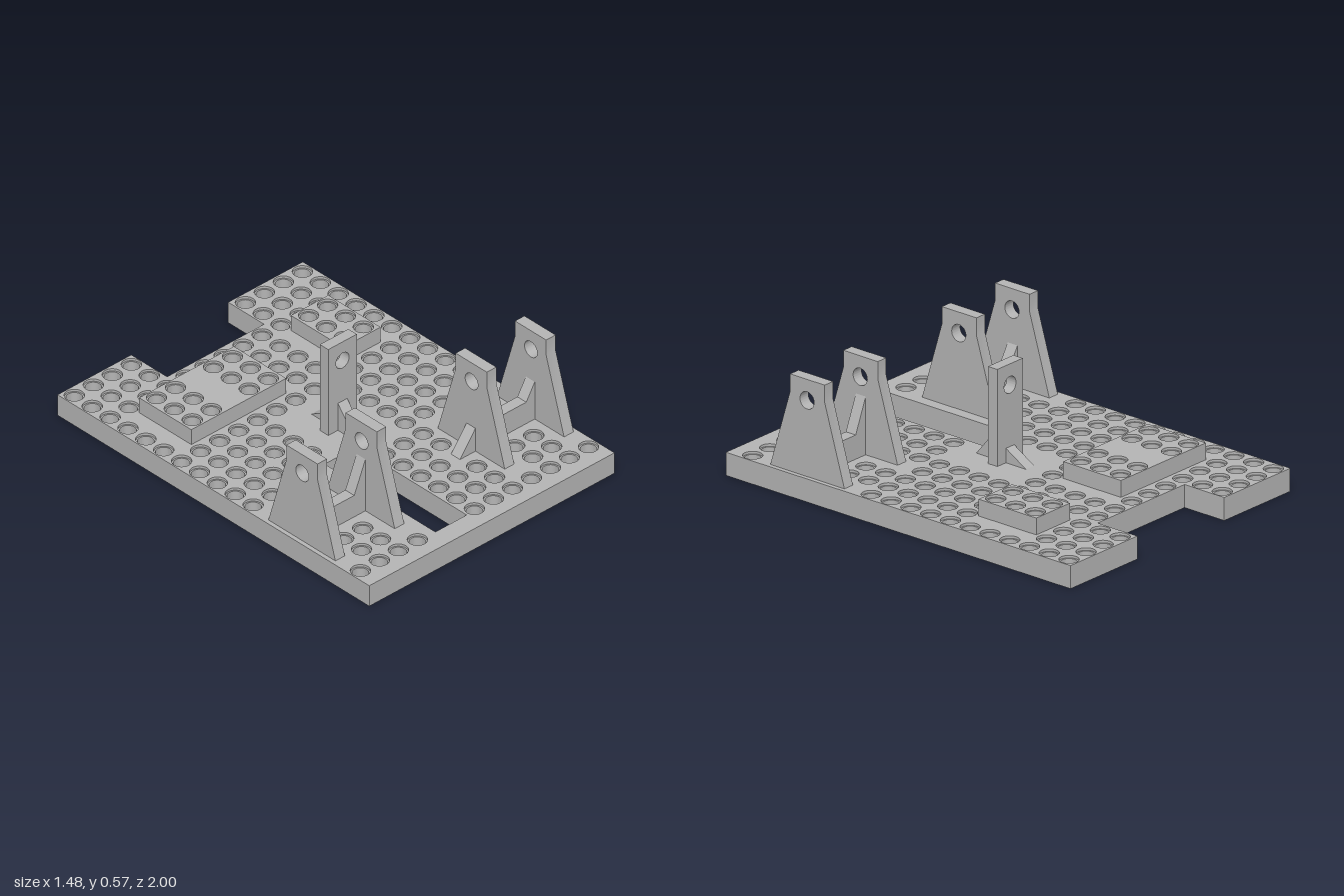
import * as THREE from 'three';
import { mergeGeometries, toCreasedNormals } from 'three/addons/utils/BufferGeometryUtils.js';

const PITCH = 0.1147, THICK = 0.11, PAD_TOP = 0.19;
const R_HOLE = 0.0375, R_BORE = 0.045, BORE_DEPTH = 0.012, SEG = 24;

const range = (a, b) => Array.from({ length: b - a + 1 }, (_, i) => a + i);
const polygon = pts => new THREE.Shape(pts.map(p => new THREE.Vector2(p[0], p[1])));
const rect = (x0, x1, y0, y1) => [[x0, y0], [x1, y0], [x1, y1], [x0, y1]];

function punch(shape, x, y, r) {
  const hole = new THREE.Path();
  hole.absarc(x, y, r, 0, Math.PI * 2, true);
  shape.holes.push(hole);
}

function extrude(shape, depth) {
  const g = new THREE.ExtrudeGeometry(shape, { depth, bevelEnabled: false, curveSegments: SEG });
  return toCreasedNormals(g, 0.5);
}

// Hole columns for each row, in multiples of the pitch
function holeGrid() {
  const all = range(-6, 6);
  const corners = [...range(-6, -3), ...range(3, 6)];
  const padRow = [-6, -4.5, -3.5, -1.5, -0.5, 1, 2, 3.5, 4.5, 6];
  const postRow = [...range(-6, -2), ...range(2, 6)];
  const bracketRow = [-5, -4, 0, 1, 2, 4, 5];
  const rows = [
    corners, corners, all, padRow, padRow, padRow, all, postRow, postRow, postRow,
    [...range(-6, -3), ...range(2, 6)], bracketRow, bracketRow, [0, 1],
    bracketRow, bracketRow, [...range(-6, -3), ...range(0, 6)],
  ];
  return rows.flatMap((cols, k) => cols.map(c => ({ x: c * PITCH, z: -0.947 + k * PITCH })));
}

export function createModel() {
  const model = new THREE.Group();
  model.name = 'perforatedMountingPlate';
  const grey = new THREE.MeshStandardMaterial({ color: 0xb4b4b4 });
  grey.name = 'grey';
  const add = (name, geometry) => {
    const mesh = new THREE.Mesh(geometry, grey);
    mesh.name = name;
    model.add(mesh);
    return mesh;
  };

  const holes = holeGrid();
  const pads = [
    { name: 'widePad', x0: -0.572, x1: 0, z0: -0.655, z1: -0.32 },
    { name: 'narrowPad', x0: 0.344, x1: 0.57, z0: -0.655, z1: -0.32 },
  ];
  const inside = (p, h) => h.x > p.x0 && h.x < p.x1 && h.z > p.z0 && h.z < p.z1;

  // Base plate with rear notch, long slot and hole grid (shape y is -z)
  const plate = polygon([[-0.74, -1], [0.74, -1], [0.74, 1], [0.29, 1], [0.29, 0.77],
    [-0.295, 0.77], [-0.295, 1], [-0.74, 1]]);
  plate.holes.push(polygon(rect(-0.247, -0.058, -0.9, -0.19)));
  holes.forEach(h => punch(plate, h.x, -h.z, R_BORE));
  add('basePlate', extrude(plate, THICK).rotateX(-Math.PI / 2));

  // Raised pads continue the holes upward
  for (const p of pads) {
    const shape = polygon(rect(p.x0, p.x1, -p.z1, -p.z0));
    holes.filter(h => inside(p, h)).forEach(h => punch(shape, h.x, -h.z, R_BORE));
    const g = extrude(shape, PAD_TOP - THICK).rotateX(-Math.PI / 2);
    add(p.name, g.translate(0, THICK, 0));
  }

  // Narrower sleeve inside every hole leaves a counterbore at both ends
  const sleeve = top => toCreasedNormals(new THREE.LatheGeometry([
    new THREE.Vector2(R_BORE, top - BORE_DEPTH), new THREE.Vector2(R_HOLE, top - BORE_DEPTH),
    new THREE.Vector2(R_HOLE, BORE_DEPTH), new THREE.Vector2(R_BORE, BORE_DEPTH),
  ], SEG), 0.5);
  const shortSleeve = sleeve(THICK), tallSleeve = sleeve(PAD_TOP);
  add('holeSleeves', mergeGeometries(holes.map(h => {
    const source = pads.some(p => inside(p, h)) ? tallSleeve : shortSleeve;
    return source.clone().translate(h.x, 0, h.z);
  })));

  // Four tapered upright brackets (shape x is -z)
  const bracket = polygon([[-0.76, THICK], [-0.33, THICK], [-0.445, 0.49], [-0.445, 0.572],
    [-0.645, 0.572], [-0.645, 0.49]]);
  punch(bracket, -0.547, 0.472, 0.041);
  const bracketGeometry = extrude(bracket, 0.057).rotateY(Math.PI / 2).translate(-0.0285, 0, 0);
  for (const [name, x] of [['rightOuterBracket', -0.69], ['rightInnerBracket', -0.332],
    ['leftInnerBracket', 0.332], ['leftOuterBracket', 0.69]]) {
    add(name, bracketGeometry).position.x = x;
  }

  // Braces joining each bracket pair, plus an outer gusset on the left pair
  const web = [[0.355, THICK], [0.665, THICK], [0.665, 0.315], [0.61, 0.225], [0.428, 0.225], [0.355, 0.4]];
  const brace = (name, pts) => add(name, extrude(polygon(pts), 0.057).translate(0, 0, 0.515));
  brace('leftBrace', web);
  brace('rightBrace', web.map(([x, y]) => [-x, y]));
  brace('leftGusset', [[0.21, THICK], [0.306, THICK], [0.306, 0.236]]);

  // Centre post with a cross hole
  const post = polygon(rect(-0.086, 0.086, THICK, 0.572));
  punch(post, 0, 0.472, 0.04);
  add('centrePost', extrude(post, 0.054).translate(0, 0, -0.012));

  // Triangular ribs in front of and behind the post
  const rib = (name, pts) => add(name,
    extrude(polygon(pts), 0.056).rotateY(Math.PI / 2).translate(-0.028, 0, 0));
  rib('frontRib', [[-0.16, THICK], [-0.04, THICK], [-0.04, 0.257]]);
  rib('backRib', [[0.01, THICK], [0.128, THICK], [0.01, 0.18]]);

  return model;
}
